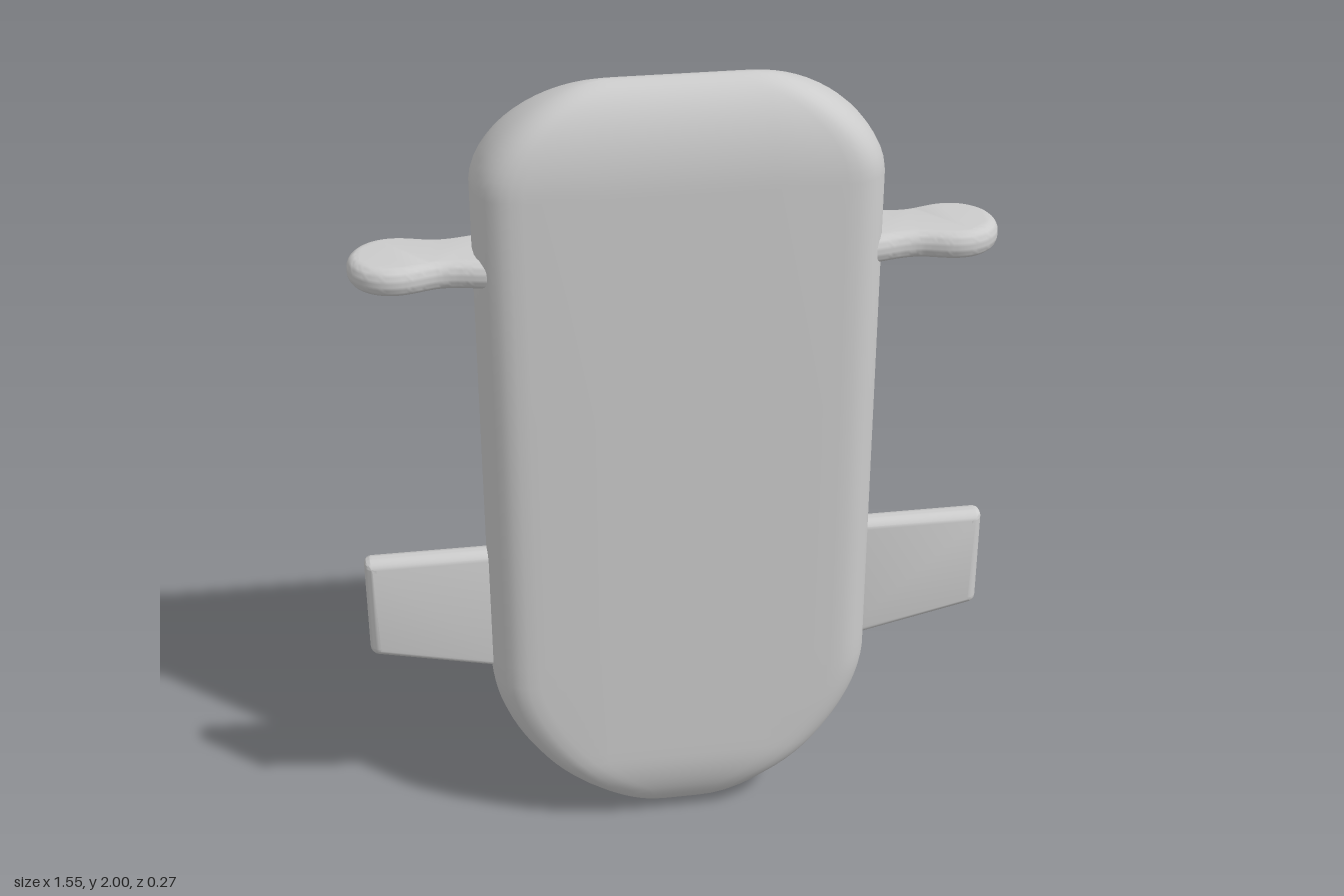
import * as THREE from 'three';
import { toCreasedNormals } from 'three/addons/utils/BufferGeometryUtils.js';

const SLOT = { bottom: 0.21, top: 0.355, half: 0.2, floorZ: 0.03 };

// Half width, front depth, back depth, depth centre and corner size at height y
function profile(y) {
  const p = { hw: 0.475, zf: 0.135, zb: 0.135, zc: 0, rx: 0.11 };
  if (y > 1.76) {
    const t = Math.min(1, (y - 1.76) / 0.24);
    p.hw = 0.17 + 0.305 * Math.pow(1 - Math.pow(t, 1.7), 0.6);
    p.zf = p.zb = 0.135 * Math.pow(1 - t * t, 0.6);
    p.zc = 0.025 * t * t;
    p.rx = 0.11 * (1 - 0.3 * t);
  } else if (y < 0.46) {
    const t = (0.46 - y) / 0.46;
    p.hw = 0.475 * Math.pow(1 - Math.pow(t, 1.7), 0.58);
    p.rx = Math.min(0.11 + 0.05 * t, p.hw * 0.6);
    // the back steps in slightly around the slot
    p.zb = 0.135 - 0.025 * THREE.MathUtils.smoothstep(0.43 - y, 0, 0.07);
    if (y < 0.21) {
      const s = (0.21 - y) / 0.21;
      const k = Math.sqrt(Math.max(0, 1 - s * s));
      p.zf *= k;
      p.zb *= k;
    }
  }
  return p;
}

const FLAT = 10; // columns across the slot
const CORNER = 16; // steps around each rounded side

// One closed cross-section, counter-clockwise from the front left
function section(y) {
  const { hw, zf, zb, zc, rx } = profile(y);
  const fx = hw - rx;
  const a = Math.min(SLOT.half, fx * 0.88);
  const cols = [-fx];
  for (let i = 0; i <= FLAT; i++) cols.push(a * (2 * i / FLAT - 1));
  cols.push(fx);
  const pts = cols.map(x => new THREE.Vector3(x, y, zc + zf));
  const side = s => {
    for (let i = 1; i < CORNER; i++) {
      const th = s * Math.PI * (0.5 - i / CORNER);
      const sn = Math.sin(th), c = Math.pow(Math.cos(th), 0.8);
      const z = Math.sign(sn) * Math.pow(Math.abs(sn), 0.8) * (sn > 0 ? zf : zb);
      pts.push(new THREE.Vector3(s * (fx + rx * c), y, zc + z));
    }
  };
  side(1);
  // back columns rise towards the sides so that the slot is curved
  const lift = 0.05 * THREE.MathUtils.smoothstep(y, 0.08, 0.21) * (1 - THREE.MathUtils.smoothstep(y, 0.4, 0.6));
  cols.slice().reverse().forEach(x => {
    const k = Math.abs(x) <= a + 1e-6 ? (x / SLOT.half) ** 2 : 0.6;
    pts.push(new THREE.Vector3(x, y + lift * k, zc - zb));
  });
  side(-1);
  return pts;
}

function bodyGeometry() {
  const ys = [];
  for (let i = 0; i <= 14; i++) ys.push(0.21 * (1 - Math.cos(i / 14 * Math.PI / 2)));
  ys.push(0.24, 0.27, 0.3, 0.33, 0.355, 0.37, 0.385, 0.4, 0.415, 0.43, 0.46, 0.52, 0.6, 1.2, 1.76);
  for (let i = 1; i <= 16; i++) ys.push(1.76 + 0.24 * Math.sin(i / 16 * Math.PI / 2));
  const rows = ys.map(section);
  const n = rows[0].length;
  const firstCol = FLAT + 3 + CORNER; // first slot column on the back
  const pos = [];
  const quad = (a, b, c, d) => [a, b, c, a, c, d].forEach(v => pos.push(v.x, v.y, v.z));
  const deep = v => new THREE.Vector3(v.x, v.y, SLOT.floorZ);
  const inRow = r => ys[r] > SLOT.bottom - 1e-4 && ys[r + 1] < SLOT.top + 1e-4;
  const inCol = k => k >= firstCol && k < firstCol + FLAT;
  for (let r = 0; r < rows.length - 1; r++) {
    for (let k = 0; k < n; k++) {
      const a = rows[r][k], b = rows[r][(k + 1) % n];
      const c = rows[r + 1][(k + 1) % n], d = rows[r + 1][k];
      if (!inRow(r) || !inCol(k)) { quad(a, b, c, d); continue; }
      // slot floor and walls
      quad(deep(a), deep(b), deep(c), deep(d));
      if (!inRow(r - 1)) quad(a, b, deep(b), deep(a));
      if (!inRow(r + 1)) quad(c, d, deep(d), deep(c));
      if (!inCol(k - 1)) quad(d, a, deep(a), deep(d));
      if (!inCol(k + 1)) quad(b, c, deep(c), deep(b));
    }
  }
  const g = new THREE.BufferGeometry();
  g.setAttribute('position', new THREE.Float32BufferAttribute(pos, 3));
  return toCreasedNormals(g, 0.7);
}

// Thin plate with rounded rims, centred on z = 0
function plate(shape, half) {
  const bevel = half - 0.004;
  const g = new THREE.ExtrudeGeometry(shape, {
    depth: 0.008, bevelThickness: bevel, bevelSize: 0.028, bevelOffset: -0.028,
    bevelSegments: 6, curveSegments: 16,
  });
  g.translate(0, 0, -0.004);
  return toCreasedNormals(g, 0.7);
}

function finGeometry() {
  const s = new THREE.Shape();
  s.moveTo(0.4, 0.447);
  s.lineTo(0.755, 0.525);
  s.quadraticCurveTo(0.775, 0.53, 0.775, 0.55);
  s.lineTo(0.775, 0.78);
  s.quadraticCurveTo(0.775, 0.8, 0.755, 0.8);
  s.lineTo(0.4, 0.8);
  s.closePath();
  return plate(s, 0.033);
}

function paddleGeometry() {
  const s = new THREE.Shape();
  s.moveTo(0.4, -0.105);
  s.bezierCurveTo(0.48, -0.1, 0.5, -0.083, 0.545, -0.083);
  s.bezierCurveTo(0.58, -0.083, 0.61, -0.106, 0.655, -0.106);
  s.absarc(0.655, 0, 0.106, -Math.PI / 2, Math.PI / 2, false);
  s.bezierCurveTo(0.61, 0.106, 0.58, 0.083, 0.545, 0.083);
  s.bezierCurveTo(0.5, 0.083, 0.48, 0.1, 0.4, 0.105);
  s.closePath();
  return plate(s, 0.034).rotateX(-Math.PI / 2).translate(0, 1.57, 0);
}

export function createModel() {
  const group = new THREE.Group();
  const material = new THREE.MeshStandardMaterial({ color: 0xcccccc });
  const add = (name, geometry, turn = 0) => {
    const mesh = new THREE.Mesh(geometry, material);
    mesh.name = name;
    mesh.rotation.y = turn;
    group.add(mesh);
  };
  add('body', bodyGeometry());
  const fin = finGeometry(), paddle = paddleGeometry();
  // both side pieces are symmetric in z, so a half turn mirrors them
  [['left', 0], ['right', Math.PI]].forEach(([side, turn]) => {
    add(side + 'Fin', fin, turn);
    add(side + 'Paddle', paddle, turn);
  });
  return group;
}
